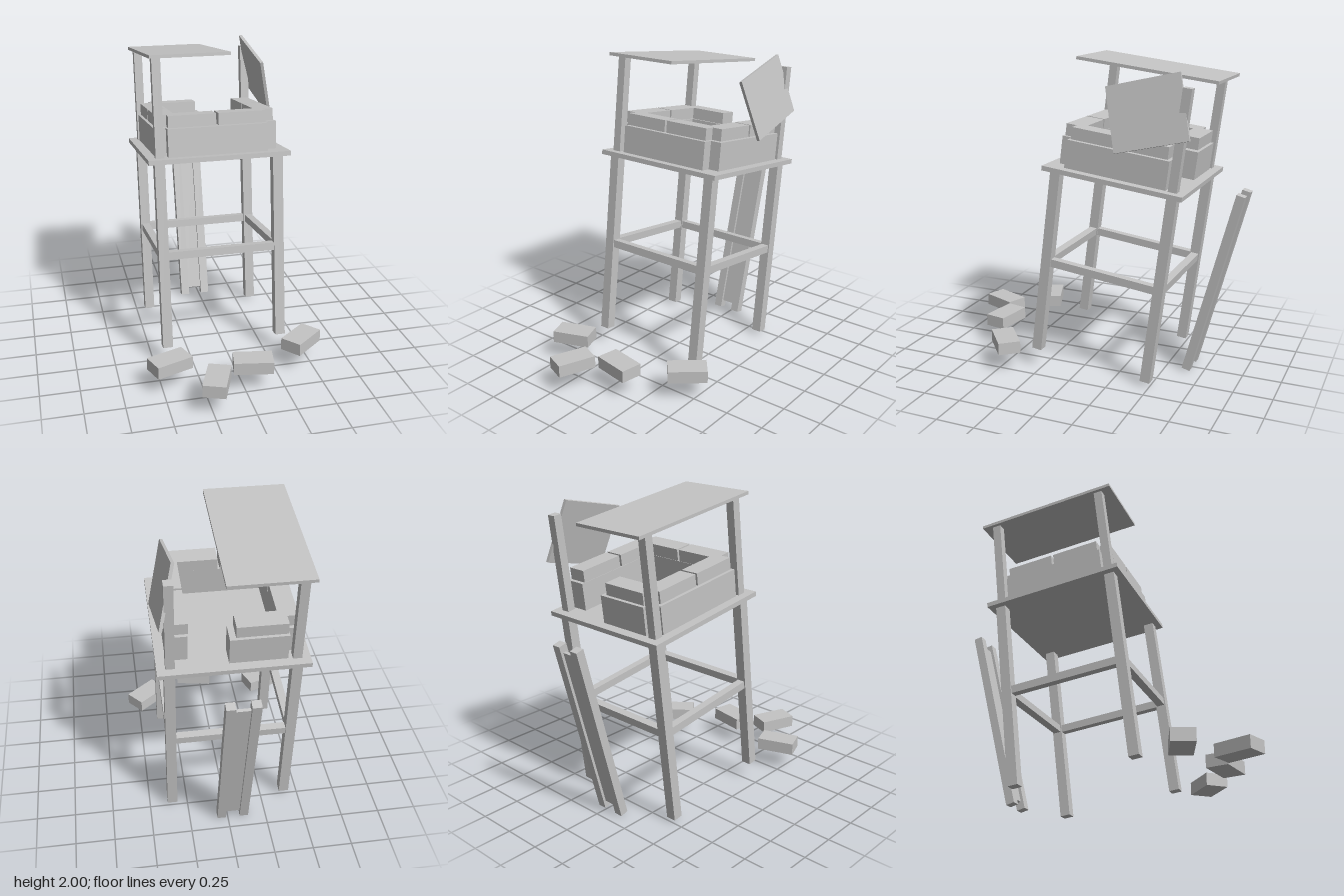
import * as THREE from 'three';

export function createModel() {
  const model = new THREE.Group();
  const grey = new THREE.MeshStandardMaterial({ color: 0xc4c4c4 });
  grey.name = 'plain grey';

  const box = (parent, name, size, pos) => {
    const mesh = new THREE.Mesh(new THREE.BoxGeometry(...size), grey);
    mesh.name = name;
    mesh.position.set(...pos);
    parent.add(mesh);
    return mesh;
  };

  // The whole tower leans backward; its origin is the platform centre
  const tower = new THREE.Group();
  tower.name = 'tower';
  tower.position.set(-0.03, 1.295, -0.243);
  tower.rotation.x = -0.1255;
  model.add(tower);

  box(tower, 'platform', [0.91, 0.03, 0.907], [0, 0, 0]);
  box(tower, 'roof', [0.5, 0.02, 0.935], [-0.175, 0.642, 0]);

  // Legs and braces
  for (const s of [-1, 1]) {
    for (const t of [-1, 1]) box(tower, 'leg', [0.065, 1.217, 0.065], [s * 0.38, -0.6235, t * 0.38]);
    box(tower, 'sideBrace', [0.05, 0.05, 0.7], [s * 0.38, -0.617, 0]);
    box(tower, 'crossBrace', [0.7, 0.05, 0.05], [0, -0.617, s * 0.38]);
  }

  // Upper posts: the front left one is missing
  for (const [x, z] of [[-0.375, 0.375], [-0.375, -0.375], [0.375, -0.375]]) {
    box(tower, 'roofPost', [0.055, 0.617, 0.055], [x, 0.3235, z]);
  }

  // Parapet: low walls with a course of blocks, doorway at the back left
  const wallY = 0.104, blockY = 0.235;
  box(tower, 'frontWall', [0.64, 0.178, 0.13], [0, wallY, 0.33]);
  box(tower, 'backWall', [0.35, 0.178, 0.13], [-0.145, wallY, -0.33]);
  box(tower, 'backBlock', [0.305, 0.076, 0.12], [-0.16, blockY, -0.32]);
  for (const s of [-1, 1]) {
    box(tower, 'sideWall', [0.13, 0.178, 0.66], [s * 0.33, wallY, 0]);
    box(tower, 'frontBlock', [0.305, 0.076, 0.12], [s * 0.16, blockY, 0.32]);
    for (const t of [-1, 1]) box(tower, 'sideBlock', [0.12, 0.076, 0.305], [s * 0.32, blockY, t * 0.16]);
  }

  // Loose panel leaning on the back left post
  const panel = box(model, 'loosePanel', [0.02, 0.4, 0.467], [0.366, 1.718, -0.4525]);
  panel.rotation.set(0.228, 0, 0.225, 'ZXY');

  // Channel of planks standing behind the tower
  const ramp = new THREE.Group();
  ramp.name = 'ramp';
  ramp.position.set(-0.033, 0.605, -0.795);
  ramp.rotation.x = -0.258;
  model.add(ramp);
  for (const s of [-1, 1]) box(ramp, 'rampRail', [0.057, 1.235, 0.055], [s * 0.074, 0, 0]);
  box(ramp, 'rampPlank', [0.092, 1.14, 0.02], [0, 0, 0]);

  // Fallen blocks in front: x, z, turn
  for (const [x, z, turn] of [
    [-0.445, 0.573, 0.35], [-0.207, 0.838, 1.2], [0.057, 0.692, -0.18], [0.437, 0.486, 0.69],
  ]) {
    box(model, 'fallenBlock', [0.247, 0.08, 0.143], [x, 0.165, z]).rotation.y = turn;
  }

  return model;
}
